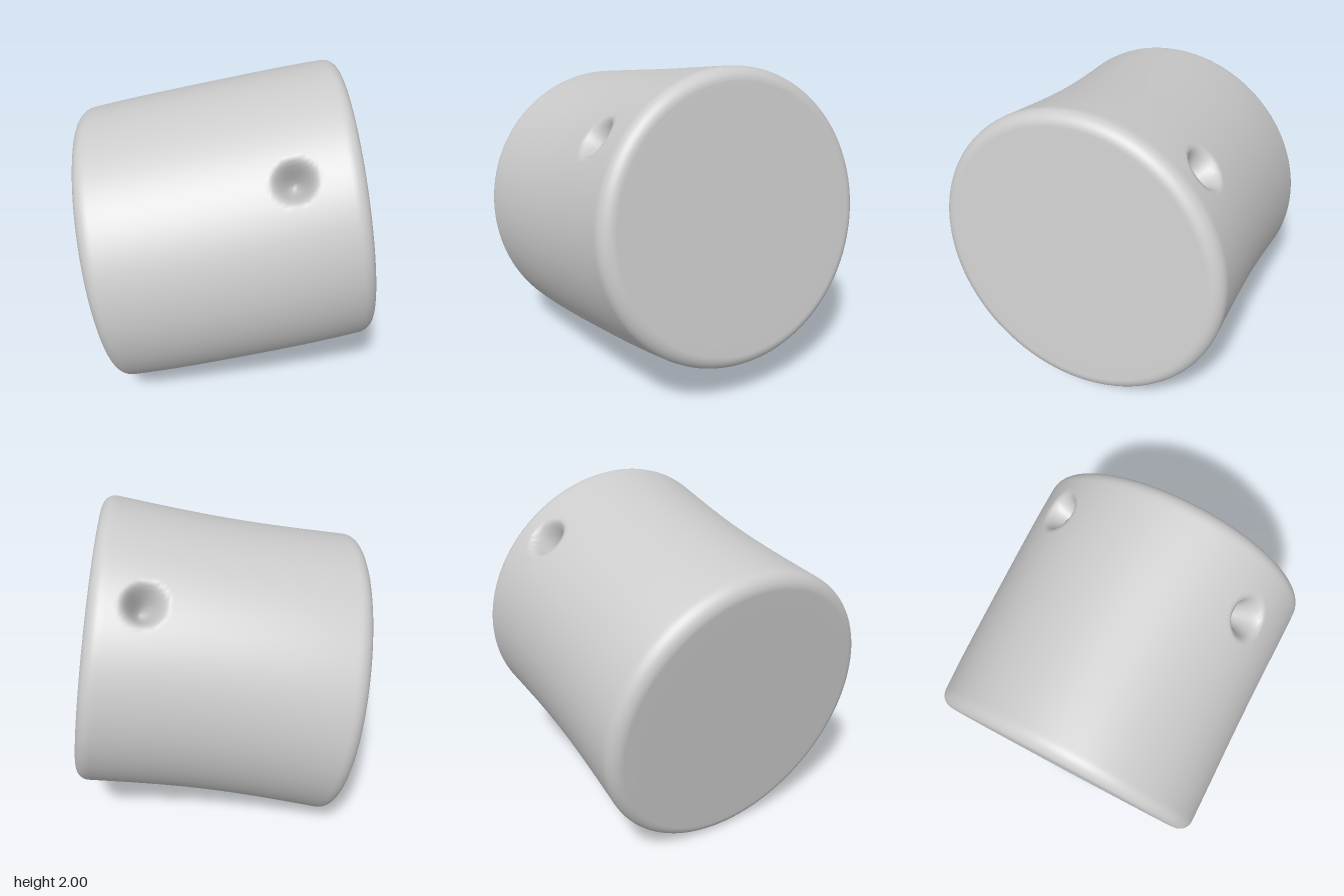
import * as THREE from 'three';
import { mergeVertices } from 'three/addons/utils/BufferGeometryUtils.js';

const RADIUS = 0.87, HALF = 0.797, FILLET = 0.085;

// Outline of the drum: flat caps, rounded rims, faintly pinched wall
function drumProfile() {
  const pts = [];
  const inner = RADIUS - FILLET, wall = HALF - FILLET;
  for (let i = 0; i <= 8; i++) pts.push(new THREE.Vector2(inner * i / 8, -HALF));
  for (let i = 1; i <= 8; i++) {
    const a = (i / 8) * Math.PI / 2;
    pts.push(new THREE.Vector2(inner + FILLET * Math.sin(a), -wall - FILLET * Math.cos(a)));
  }
  for (let i = 1; i < 72; i++) {
    const t = i / 72;
    pts.push(new THREE.Vector2(RADIUS - 0.006 * Math.sin(Math.PI * t) ** 2, wall * (2 * t - 1)));
  }
  // mirror the rim and cap for the other end
  for (let i = 16; i >= 0; i--) pts.push(new THREE.Vector2(pts[i].x, -pts[i].y));
  return pts;
}

// Make the round section slightly oval along its diagonals, from rim to waist
function squeezeOval(position) {
  for (let i = 0; i < position.count; i++) {
    const x = position.getX(i), y = position.getY(i), z = position.getZ(i);
    const amount = -0.022 + 0.032 * (1 - (y / HALF) ** 2);
    const scale = 1 + amount * 2 * x * z / (x * x + z * z + 1e-9);
    position.setXYZ(i, x * scale, y, z * scale);
  }
}

// Push a funnel-shaped dimple into the wall, towards the drum axis
function pressDimple(position, centre, axis, origin, width, depth) {
  const along = centre.clone().sub(origin).dot(axis);
  const dir = centre.clone().sub(origin).addScaledVector(axis, -along).normalize();
  const v = new THREE.Vector3(), rel = new THREE.Vector3();
  for (let i = 0; i < position.count; i++) {
    v.fromBufferAttribute(position, i);
    rel.subVectors(v, centre);
    const height = rel.dot(dir);
    if (Math.abs(height) > 0.2) continue;
    const d = rel.addScaledVector(dir, -height).length() / width;
    if (d >= 1) continue;
    const s = 1 - d;
    v.addScaledVector(dir, -depth * s * s * (3 - 2 * s));
    position.setXYZ(i, v.x, v.y, v.z);
  }
}

export function createModel() {
  const group = new THREE.Group();
  const origin = new THREE.Vector3(0, 1, 0);
  // The wall leans a little more than the caps do
  const capNormal = new THREE.Vector3(1, 0.143, -0.107).normalize();
  const axis = new THREE.Vector3(1, 0.199, -0.118).normalize();

  // Drum, tipped onto its lower rim: slanted axis between parallel caps
  const side = new THREE.Vector3(0, 0, 1).cross(capNormal).normalize();
  const across = side.clone().cross(capNormal);
  const lean = axis.clone().divideScalar(axis.dot(capNormal));
  let geo = new THREE.LatheGeometry(drumProfile(), 240);
  squeezeOval(geo.attributes.position);
  geo.applyMatrix4(new THREE.Matrix4().makeBasis(side, lean, across).setPosition(origin));
  geo.deleteAttribute('uv');
  geo.deleteAttribute('normal');
  geo = mergeVertices(geo, 1e-5);

  // Front and back dimples
  const dimples = [new THREE.Vector3(0.395, 1.62, 0.58), new THREE.Vector3(0.34, 1.67, -0.61)];
  for (const c of dimples) pressDimple(geo.attributes.position, c, axis, origin, 0.135, 0.23);
  geo.computeVertexNormals();

  const body = new THREE.Mesh(geo, new THREE.MeshStandardMaterial({ color: 0xcccccc }));
  body.name = 'dimpledDrum';
  group.add(body);
  return group;
}
